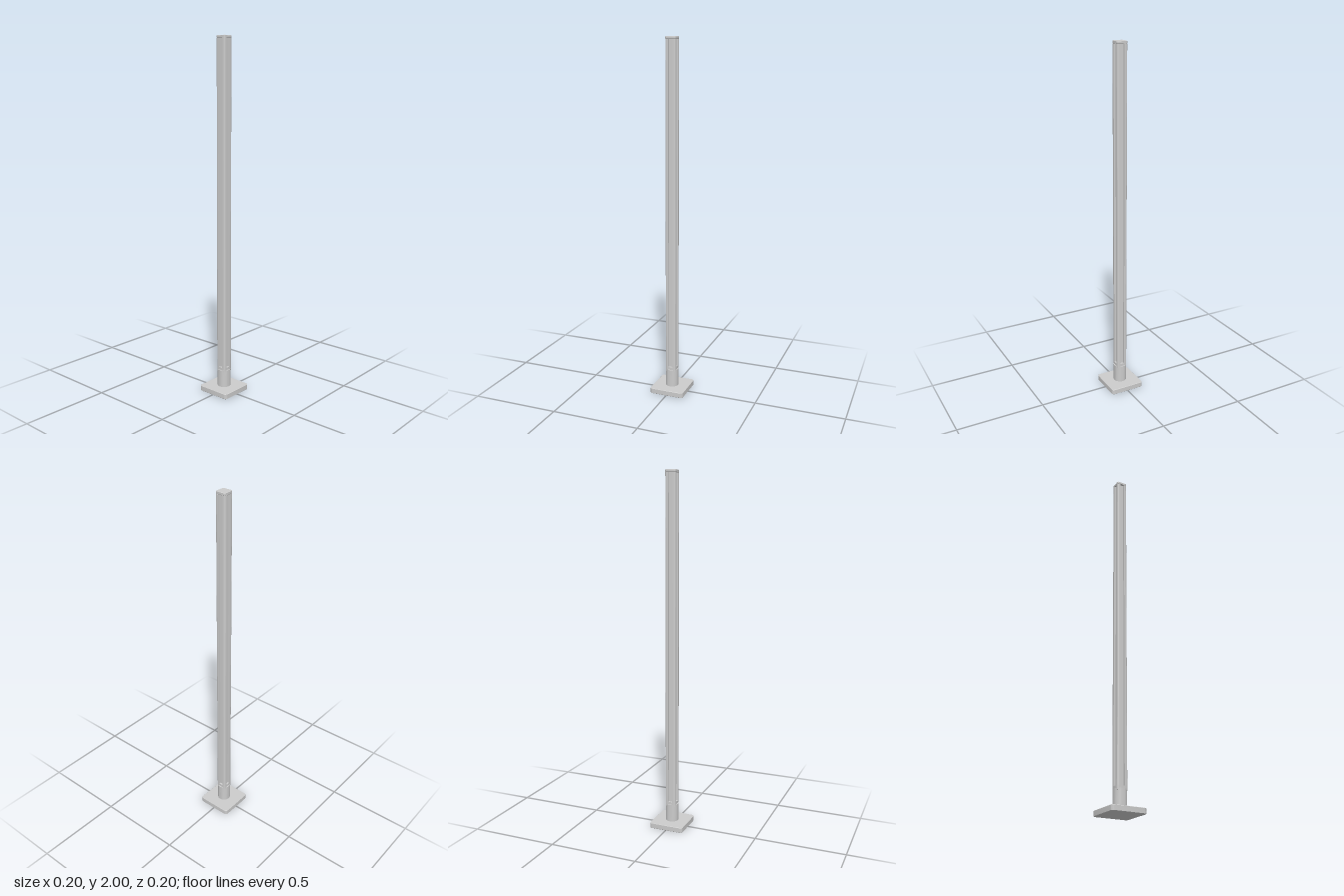
import * as THREE from 'three';
import { toCreasedNormals } from 'three/addons/utils/BufferGeometryUtils.js';

const material = new THREE.MeshStandardMaterial({ color: 0xcccccc });

// Square outline with rounded corners; a groove in each side when depth > 0
function squareShape(half, radius, slot = 0, depth = 0) {
  const shape = new THREE.Shape();
  const inner = half - radius;
  for (let i = 0; i < 4; i++) {
    const a = i * Math.PI / 2, c = Math.cos(a), s = Math.sin(a);
    const go = (x, y) => {
      const p = [x * c - y * s, x * s + y * c];
      if (i === 0 && x === half && y === -inner) shape.moveTo(...p);
      else shape.lineTo(...p);
    };
    go(half, -inner);
    if (depth > 0) {
      go(half, -slot);
      go(half - depth, -slot);
      go(half - depth, slot);
      go(half, slot);
    }
    go(half, inner);
    for (let k = 1; k < 4; k++) {
      const t = k * Math.PI / 8;
      go(inner + radius * Math.cos(t), inner + radius * Math.sin(t));
    }
    go(inner, half);
  }
  return shape;
}

// Upright prism between two heights, with an optional bevelled rim
function prism(name, shape, y0, y1, bevel = 0) {
  const geometry = new THREE.ExtrudeGeometry(shape, {
    depth: y1 - y0 - 2 * bevel,
    bevelEnabled: bevel > 0,
    bevelThickness: bevel,
    bevelSize: bevel,
    bevelOffset: -bevel,
    bevelSegments: 1,
  });
  geometry.rotateX(-Math.PI / 2);
  geometry.translate(0, y0 + bevel, 0);
  const mesh = new THREE.Mesh(toCreasedNormals(geometry, 0.5), material);
  mesh.name = name;
  return mesh;
}

export function createModel() {
  const group = new THREE.Group();
  group.name = 'slottedPost';

  // Square foot with softened corners
  group.add(prism('basePlate', squareShape(0.1, 0.015), 0, 0.03, 0.002));

  // Round socket holding the post
  const collarGeometry = new THREE.CylinderGeometry(0.037, 0.037, 0.1, 24);
  const collar = new THREE.Mesh(toCreasedNormals(collarGeometry, 0.5), material);
  collar.name = 'collar';
  collar.position.y = 0.08;
  group.add(collar);

  // Post: solid foot, grooved shaft, and end cap
  group.add(prism('postFoot', squareShape(0.03, 0.008), 0.12, 0.145));
  group.add(prism('groovedShaft', squareShape(0.03, 0.008, 0.012, 0.011), 0.145, 1.985));
  group.add(prism('endCap', squareShape(0.03, 0.008), 1.985, 2, 0.002));

  return group;
}
